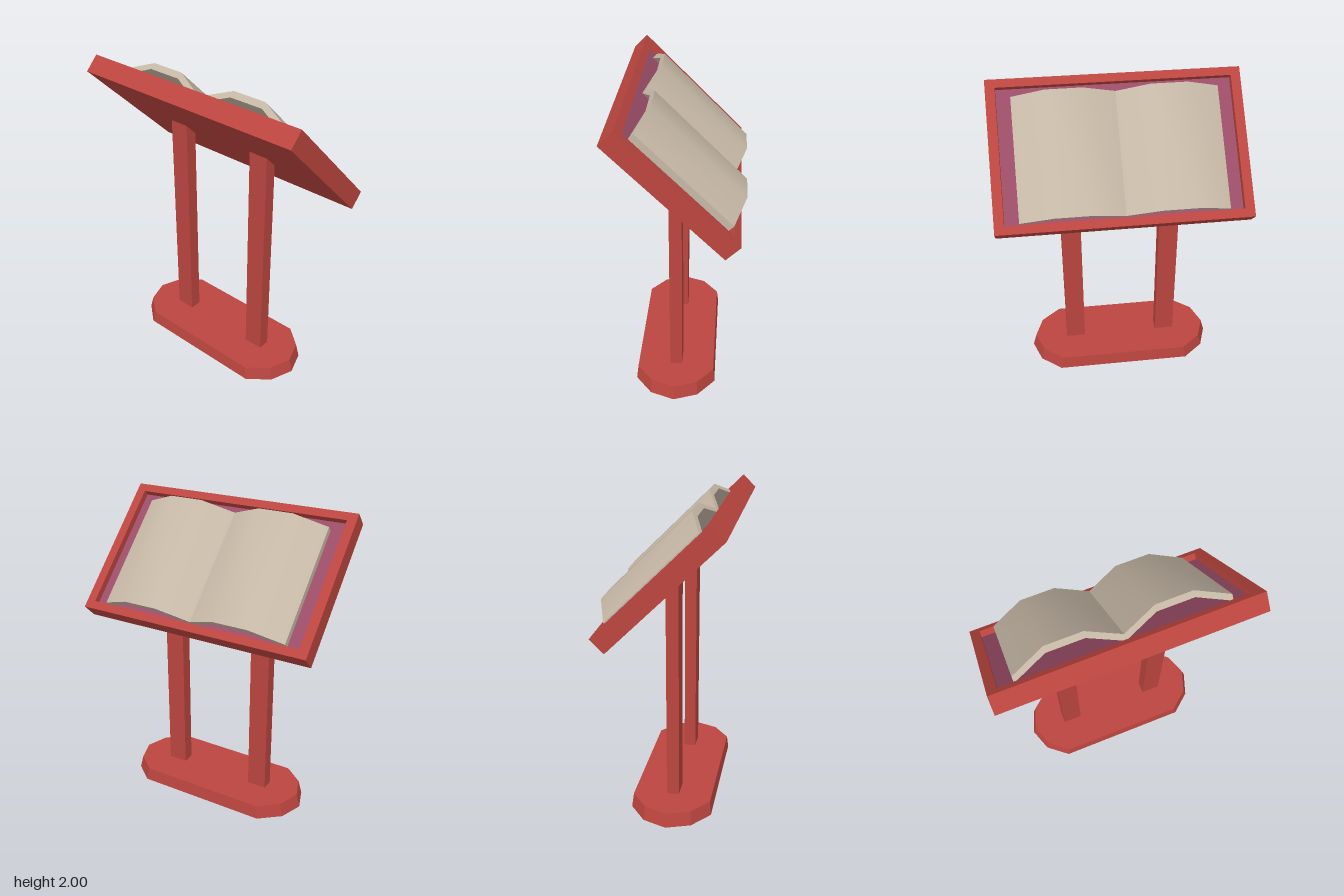
import * as THREE from 'three';
import { toCreasedNormals } from 'three/addons/utils/BufferGeometryUtils.js';

const material = (name, color) => {
  const m = new THREE.MeshStandardMaterial({ color });
  m.name = name;
  return m;
};

const polygon = (points) => new THREE.Shape(points.map(([x, y]) => new THREE.Vector2(x, y)));

const rectangle = (w, h) => [[-w, -h], [w, -h], [w, h], [-w, h]];

const extrude = (shape, depth) =>
  new THREE.ExtrudeGeometry(shape, { depth, bevelEnabled: false });

export function createModel() {
  const red = material('red wood', 0xbb453f);
  const lining = material('plum lining', 0x9a4c66);
  const paper = material('paper', 0xc6b8a6);

  const model = new THREE.Group();
  model.name = 'bookStand';

  const add = (parent, name, geometry, mat, x = 0, y = 0, z = 0) => {
    const mesh = new THREE.Mesh(geometry, mat);
    mesh.name = name;
    mesh.position.set(x, y, z);
    parent.add(mesh);
    return mesh;
  };

  // Foot: ten-sided slab with chamfered ends, tapering towards the top
  const quarter = [[0.64, 0], [0.585, 0.155], [0.45, 0.265]];
  const half = [...quarter, ...quarter.map(([x, z]) => [-x, z]).reverse()];
  const outline = [...half, ...half.slice(1, -1).map(([x, z]) => [-x, -z])];
  const footHeight = 0.09;
  const foot = extrude(polygon(outline), footHeight).rotateX(-Math.PI / 2);
  const p = foot.attributes.position;
  for (let i = 0; i < p.count; i++) {
    const s = 1 - 0.038 * (p.getY(i) / footHeight);
    p.setXYZ(i, p.getX(i) * s, p.getY(i), p.getZ(i) * s);
  }
  foot.computeVertexNormals();
  add(model, 'foot', foot, red, 0, 0, 0.03);

  // Two posts running up into the tray
  for (const [name, side] of [['leftPost', 1], ['rightPost', -1]]) {
    add(model, name, new THREE.BoxGeometry(0.13, 1.51, 0.08), red, side * 0.325, 0.835, 0.03);
  }

  // Tray tilted by 45 degrees; its local y points out of the reading face
  const tray = new THREE.Group();
  tray.name = 'tray';
  tray.position.set(0, 1.62, 0.015);
  tray.rotation.x = -Math.PI / 4;
  model.add(tray);

  add(tray, 'trayBoard', new THREE.BoxGeometry(1.58, 0.075, 0.955), red, 0, -0.0225, 0);

  const rim = polygon(rectangle(0.79, 0.4775));
  rim.holes.push(polygon(rectangle(0.73, 0.424)));
  add(tray, 'trayRim', extrude(rim, 0.045).rotateX(-Math.PI / 2), red, 0, 0.015, 0);

  add(tray, 'trayLining', new THREE.BoxGeometry(1.46, 0.003, 0.848), lining, 0, 0.0165, 0);

  // Open book: one thick sheet arched over each page
  const page = [[0, 0.064], [0.205, 0.163], [0.432, 0.163], [0.64, 0.062]];
  const top = [...page.slice(1).map(([x, y]) => [-x, y]).reverse(), ...page];
  const under = top.map(([x, y]) => [x, y - 0.042]).reverse();
  const book = toCreasedNormals(extrude(polygon([...top, ...under]), 0.778), 0.6);
  add(tray, 'openBook', book, paper, 0, 0, -0.417);

  return model;
}
